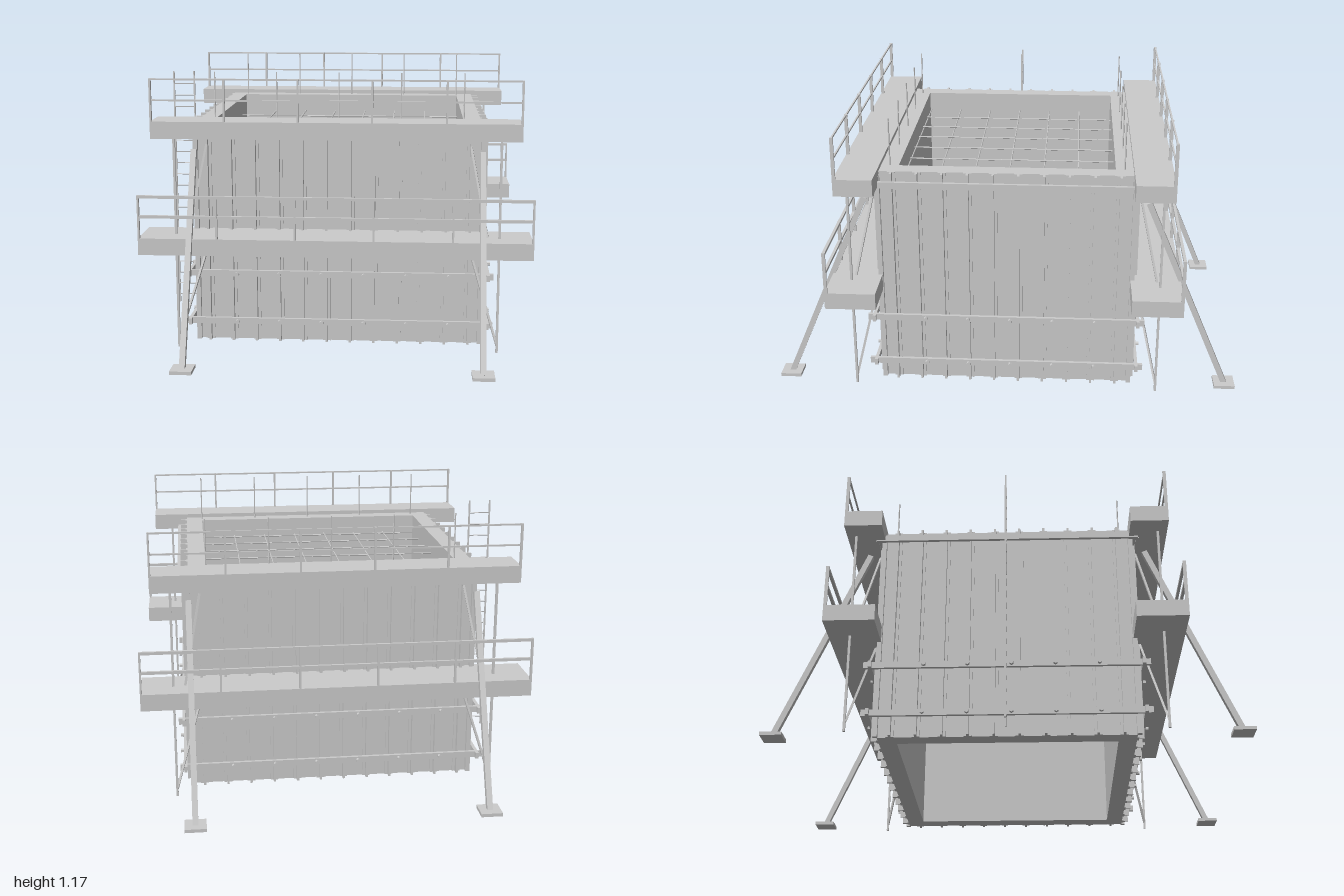
import * as THREE from 'three';

const mat = new THREE.MeshStandardMaterial({ color: 0xcccccc, flatShading: true });

export function createModel() {
  const root = new THREE.Group();

  const add = (parent, name, geo, x = 0, y = 0, z = 0) => {
    const m = new THREE.Mesh(geo, mat);
    m.name = name;
    m.position.set(x, y, z);
    parent.add(m);
    return m;
  };
  const box = (parent, name, w, h, d, x, y, z) =>
    add(parent, name, new THREE.BoxGeometry(w, h, d), x, y, z);
  const group = (name) => {
    const g = new THREE.Group();
    g.name = name;
    root.add(g);
    return g;
  };
  // Straight bar between two points: square section, or round when sides > 4
  const bar = (parent, name, a, b, t, sides = 4) => {
    const p = new THREE.Vector3(...a), q = new THREE.Vector3(...b);
    const len = p.distanceTo(q);
    const geo = sides > 4
      ? new THREE.CylinderGeometry(t / 2, t / 2, len, sides)
      : new THREE.BoxGeometry(t, len, t);
    const m = add(parent, name, geo);
    m.position.copy(p).add(q).multiplyScalar(0.5);
    m.quaternion.setFromUnitVectors(new THREE.Vector3(0, 1, 0), q.sub(p).normalize());
    return m;
  };

  const HX = 0.605, HZ = 0.53, TOP = 0.965;

  // Hollow wall ring, open at top and bottom
  const ring = new THREE.Shape([[-HX, -HZ], [HX, -HZ], [HX, HZ], [-HX, HZ]]
    .map((p) => new THREE.Vector2(...p)));
  ring.holes.push(new THREE.Path([[-0.535, -0.455], [-0.535, 0.455], [0.53, 0.455], [0.53, -0.455]]
    .map((p) => new THREE.Vector2(...p))));
  const wallGeo = new THREE.ExtrudeGeometry(ring, { depth: TOP, bevelEnabled: false });
  wallGeo.rotateX(-Math.PI / 2);
  add(root, 'walls', wallGeo);

  // Panel side: ribs, wales and tie nuts, built facing +z and then turned
  const panelSide = (name, angle, dist, ribs, pitch, waleLen, ties) => {
    const g = group(name);
    g.rotation.y = angle;
    for (let i = 0; i < ribs; i++) {
      const x = (i - (ribs - 1) / 2) * pitch;
      box(g, 'ribFlange', 0.034, TOP, 0.007, x, TOP / 2, dist + 0.0035);
      box(g, 'ribWeb', 0.01, TOP, 0.027, x, TOP / 2, dist + 0.0165);
    }
    for (const y of [0.093, 0.307, 0.918]) {
      const short = y > 0.9 ? 0.05 : 0;
      box(g, 'wale', waleLen - short, 0.027, 0.014, 0, y, dist + 0.037);
      if (y > 0.9) continue;
      for (let i = 0; i < ties; i++) {
        const nut = add(g, 'tieNut', new THREE.CylinderGeometry(0.009, 0.009, 0.018, 6),
          (i - (ties - 1) / 2) * 0.182 + 0.02, y, dist + 0.05);
        nut.rotation.x = Math.PI / 2;
      }
    }
  };
  panelSide('frontPanel', 0, HZ, 12, 0.102, 1.33, 6);
  panelSide('backPanel', Math.PI, HZ, 12, 0.102, 1.33, 6);
  panelSide('leftPanel', Math.PI / 2, HX, 10, 0.106, 1.19, 5);
  panelSide('rightPanel', -Math.PI / 2, HX, 10, 0.106, 1.19, 5);

  // Corner posts
  for (const sx of [-1, 1]) for (const sz of [-1, 1]) {
    box(root, 'cornerPost', 0.02, 0.95, 0.02, sx * 0.612, 0.475, sz * 0.537);
  }

  // Work platforms with guard rails
  const platform = (name, sz, x0, x1, z1, y0, y1, railTop, railMid, t) => {
    const g = group(name);
    const w = x1 - x0, cx = (x0 + x1) / 2, z = sz * (z1 - 0.007);
    box(g, 'deck', w, y1 - y0, z1 - HZ, cx, (y0 + y1) / 2, sz * (HZ + z1) / 2);
    for (let i = 0; i < 6; i++) {
      const x = x0 + 0.004 + (w - 0.008) * i / 5;
      box(g, 'railPost', 0.008, railTop - y1, 0.014, x, (railTop + y1) / 2, z);
    }
    for (const y of [railTop - t / 2, railMid]) box(g, 'guardRail', w, t, t, cx, y, z);
  };
  for (const sz of [-1, 1]) {
    const side = sz > 0 ? 'front' : 'back';
    platform(side + 'UpperPlatform', sz, -0.77, 0.762, 0.692, 0.91, 0.982, 1.16, 1.07, 0.007);
    platform(side + 'LowerPlatform', sz, -0.824, 0.815, 0.743, 0.427, 0.498, 0.68, 0.59, 0.012);

    for (const sx of [-1, 1]) {
      // Scaffold post with bracket braces back to the wall
      const g = group('scaffoldPost');
      bar(g, 'upright', [sx * 0.68, 0, sz * 0.652], [sx * 0.68, 0.91, sz * 0.652], 0.01);
      bar(g, 'lowerBrace', [sx * 0.56, 0.43, sz * 0.56], [sx * 0.68, 0.03, sz * 0.652], 0.009);
      bar(g, 'upperBrace', [sx * 0.56, 0.87, sz * 0.56], [sx * 0.64, 0.45, sz * 0.652], 0.009);

      // Raking prop on its foot plate
      const p = group('rakingProp');
      bar(p, 'strut', [sx * 0.607, 0.85, sz * 0.595], [sx * 0.607, 0.01, sz * 0.955], 0.024);
      box(p, 'footPlate', 0.09, 0.014, 0.09, sx * 0.607, 0.007, sz * 0.955);
    }
  }

  // Reinforcement: bars crossing the opening and starters above the walls
  const rebar = group('reinforcement');
  for (let i = 0; i < 6; i++) {
    const x = -0.38 + i * 0.15;
    bar(rebar, 'crossBar', [x, 0.885, -0.46], [x, 0.885, 0.46], 0.006, 6);
  }
  for (let i = 0; i < 6; i++) {
    const z = -0.3 + i * 0.15;
    bar(rebar, 'longBar', [-0.54, 0.878, z], [0.535, 0.878, z], 0.006, 6);
  }
  for (let i = 0; i < 5; i++) for (const sz of [-1, 1]) {
    const x = -0.53 + i * 0.265;
    bar(rebar, 'starterBar', [x, 0.9, sz * 0.493], [x, 1.17, sz * 0.493], 0.006, 6);
  }

  // Access ladder
  const ladder = group('ladder');
  for (const x of [-0.81, -0.714]) bar(ladder, 'ladderRail', [x, 0, 0], [x, 1.125, 0], 0.007);
  for (let i = 0; i < 20; i++) {
    const y = 0.04 + i * 0.054;
    bar(ladder, 'rung', [-0.81, y, 0], [-0.714, y, 0], 0.005, 6);
  }

  return root;
}
